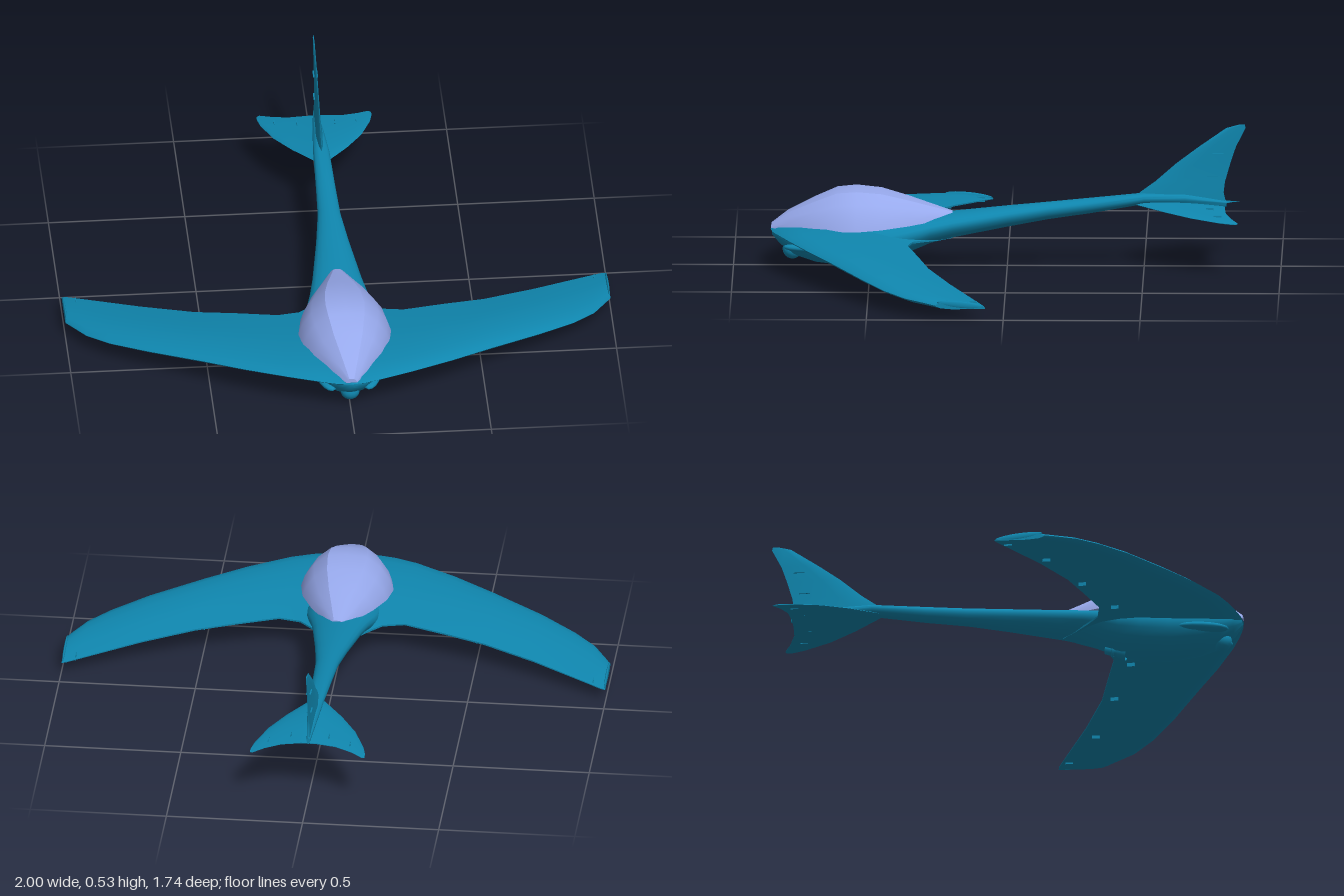
import * as THREE from 'three';
import { toCreasedNormals } from 'three/addons/utils/BufferGeometryUtils.js';

const bodyMat = new THREE.MeshStandardMaterial({ color: 0x0f86ae, side: THREE.DoubleSide });
const glassMat = new THREE.MeshStandardMaterial({ color: 0x97a9ec, side: THREE.DoubleSide });

// Skin a row of closed rings and cap both ends; winding is made outward by signed volume.
function loft(rings, crease) {
  const n = rings[0].length, pos = [], idx = [];
  rings.forEach(r => r.forEach(p => pos.push(...p)));
  for (let i = 0; i < rings.length - 1; i++) {
    for (let j = 0; j < n; j++) {
      const a = i * n + j, b = i * n + (j + 1) % n;
      idx.push(a, b, b + n, a, b + n, a + n);
    }
  }
  [0, rings.length - 1].forEach((row, end) => {
    const c = pos.length / 3;
    pos.push(...[0, 1, 2].map(k => rings[row].reduce((s, p) => s + p[k], 0) / n));
    for (let j = 0; j < n; j++) {
      const a = row * n + j, b = row * n + (j + 1) % n;
      if (end) idx.push(c, a, b); else idx.push(c, b, a);
    }
  });
  const v = k => new THREE.Vector3().fromArray(pos, k * 3);
  let volume = 0;
  for (let i = 0; i < idx.length; i += 3) volume += v(idx[i]).dot(v(idx[i + 1]).cross(v(idx[i + 2])));
  if (volume < 0) idx.reverse();
  const g = new THREE.BufferGeometry();
  g.setAttribute('position', new THREE.Float32BufferAttribute(pos, 3));
  g.setIndex(idx);
  return toCreasedNormals(g, crease);
}

// Airfoil section: [chord fraction, height fraction between low and high]
const FOIL = [[0, 0.6], [0.04, 0.8], [0.15, 0.95], [0.35, 1], [0.65, 0.75], [1, 0.22],
  [1, 0.1], [0.65, 0.05], [0.35, 0], [0.12, 0.15], [0.03, 0.4]];
// Symmetric section for the fin
const FIN = [[0, 0.5], [0.1, 0.8], [0.35, 1], [1, 0.65], [1, 0.35], [0.35, 0], [0.1, 0.2]];

// Stations: [span, leading z, trailing z, low, high]
const section = (profile, [s, lead, trail, low, high], place) =>
  profile.map(([t, h]) => place(s, low + (high - low) * h, lead + (trail - lead) * t));
const mirrored = st => [...st.slice(1).reverse().map(([s, ...r]) => [-s, ...r]), ...st];

export function createModel() {
  const model = new THREE.Group();
  const add = (name, geometry, material = bodyMat, parent = model) => {
    const m = new THREE.Mesh(geometry, material);
    m.name = name;
    parent.add(m);
    return m;
  };

  // Fuselage and tail boom: [z, bottom, top, half width]
  const hull = [
    [0.86, 0.12, 0.15, 0.02], [0.83, 0.085, 0.155, 0.06], [0.78, 0.045, 0.16, 0.09],
    [0.7, 0.018, 0.165, 0.115], [0.6, 0.005, 0.17, 0.13], [0.5, 0.01, 0.175, 0.14],
    [0.42, 0.028, 0.18, 0.137], [0.35, 0.06, 0.188, 0.125], [0.28, 0.09, 0.195, 0.106],
    [0.2, 0.11, 0.205, 0.09], [0, 0.15, 0.227, 0.06], [-0.15, 0.178, 0.242, 0.042],
    [-0.3, 0.2, 0.257, 0.036], [-0.5, 0.235, 0.277, 0.03], [-0.65, 0.232, 0.275, 0.02],
    [-0.8, 0.225, 0.25, 0.006]];
  add('fuselage', loft(hull.map(([z, b, t, w]) => {
    const mid = b + (t - b) * 0.6;
    return Array.from({ length: 20 }, (_, i) => {
      const a = i / 20 * Math.PI * 2, c = Math.cos(a), s = Math.sin(a);
      const x = w * Math.sign(c) * Math.pow(Math.abs(c), s < 0 ? 1.25 : 1);
      return [x, mid + s * (s > 0 ? t - mid : mid - b), z];
    });
  }), 0.9));

  // Swept, drooping wing
  const wing = [
    [0, 0.865, 0.2, 0.1, 0.165], [0.05, 0.858, 0.25, 0.1, 0.165], [0.1, 0.845, 0.3, 0.105, 0.165],
    [0.15, 0.83, 0.345, 0.11, 0.165], [0.23, 0.8, 0.36, 0.113, 0.162], [0.38, 0.725, 0.32, 0.103, 0.153],
    [0.53, 0.637, 0.28, 0.09, 0.14], [0.72, 0.525, 0.2, 0.073, 0.117], [0.85, 0.435, 0.135, 0.06, 0.096],
    [0.93, 0.36, 0.095, 0.052, 0.083], [0.98, 0.28, 0.07, 0.047, 0.073], [0.998, 0.25, 0.066, 0.045, 0.068]];
  add('wing', loft(mirrored(wing).map(s => section(FOIL, s, (x, y, z) => [x, y, z])), 0.7));

  // Tailplane
  const tail = [
    [0, -0.45, -0.795, 0.222, 0.25], [0.03, -0.485, -0.795, 0.222, 0.244], [0.1, -0.575, -0.8, 0.217, 0.231],
    [0.16, -0.67, -0.822, 0.21, 0.219], [0.2, -0.77, -0.845, 0.203, 0.208], [0.21, -0.815, -0.84, 0.201, 0.205]];
  add('tailplane', loft(mirrored(tail).map(s => section(FOIL, s, (x, y, z) => [x, y, z])), 0.7));

  // Upright fin: span runs along y, thickness along x
  const fin = [
    [0.235, -0.46, -0.8, 0.014], [0.28, -0.485, -0.79, 0.012], [0.32, -0.54, -0.795, 0.008],
    [0.39, -0.62, -0.815, 0.006], [0.45, -0.7, -0.835, 0.005], [0.52, -0.8, -0.87, 0.003],
    [0.532, -0.845, -0.868, 0.002]];
  add('fin', loft(fin.map(([y, l, t, w]) =>
    section(FIN, [y, l, t, -w, w], (s, x, z) => [x, s, z])), 0.7));

  // Faceted canopy: [z, base, top, half width]
  const glass = [
    [0.862, 0.145, 0.162, 0.02], [0.8, 0.153, 0.208, 0.066], [0.7, 0.157, 0.256, 0.126],
    [0.62, 0.158, 0.29, 0.158], [0.55, 0.16, 0.296, 0.17], [0.46, 0.165, 0.287, 0.155],
    [0.36, 0.172, 0.259, 0.114], [0.27, 0.18, 0.23, 0.066], [0.2, 0.186, 0.208, 0.03]];
  const dome = [[1, 0], [0.92, 0.3], [0.72, 0.66], [0.42, 0.96], [0, 1]];
  const arch = [...dome, ...dome.slice(0, -1).reverse().map(([x, y]) => [-x, y])];
  add('canopy', loft(glass.map(([z, b, t, w]) =>
    arch.map(([x, y]) => [x * w, b + y * (t - b), z])), 0.45), glassMat);

  // Nose sensor and belly engine with its strut and open nozzle
  const nose = add('noseSensor', new THREE.SphereGeometry(0.036, 16, 12));
  nose.position.set(0, 0.065, 0.785);

  const engine = new THREE.Group();
  engine.name = 'engine';
  engine.position.set(0, 0.048, 0.385);
  engine.rotation.x = -Math.PI / 2 + 0.2;
  model.add(engine);
  const nozzle = [[0, 0.03], [0.016, 0.03], [0.02, 0], [0.018, -0.01], [0.022, -0.02], [0.031, -0.05],
    [0.027, -0.05], [0.018, -0.02], [0, -0.015]].map(p => new THREE.Vector2(...p).multiply(new THREE.Vector2(1, -1)));
  add('nozzle', new THREE.LatheGeometry(nozzle, 16), bodyMat, engine).rotation.x = Math.PI;
  add('nozzleCollar', new THREE.TorusGeometry(0.019, 0.005, 6, 16), bodyMat, engine).rotation.x = Math.PI / 2;
  const strut = add('engineStrut', new THREE.BoxGeometry(0.018, 0.06, 0.04));
  strut.position.set(0, 0.07, 0.39);

  // Intake bulges, wing tip plates and control horns on both sides
  const horn = (x, y, z, h = 0.014) => {
    add('controlHorn', new THREE.BoxGeometry(0.004, h, 0.028)).position.set(x, y, z);
  };
  for (const s of [1, -1]) {
    const bulge = add('intakeBulge', new THREE.SphereGeometry(1, 16, 10));
    bulge.scale.set(0.035, 0.017, 0.1);
    bulge.position.set(s * 0.085, 0.085, 0.72);
    bulge.rotation.y = -s * 0.2;
    const tip = add('wingTip', new THREE.SphereGeometry(1, 12, 10));
    tip.scale.set(0.005, 0.013, 0.088);
    tip.position.set(s * 0.995, 0.061, 0.155);
    tip.rotation.x = -0.1;
    horn(s * 0.25, 0.106, 0.42);
    horn(s * 0.5, 0.088, 0.33);
    horn(s * 0.77, 0.066, 0.23);
    horn(s * 0.95, 0.056, 0.11, 0.02);
    horn(s * 0.07, 0.228, -0.74, 0.016);
    horn(s * 0.15, 0.216, -0.77, 0.014);
  }
  for (const [y, z] of [[0.34, -0.75], [0.425, -0.77]]) {
    add('rudderHorn', new THREE.BoxGeometry(0.018, 0.004, 0.04)).position.set(0, y, z);
  }
  return model;
}
